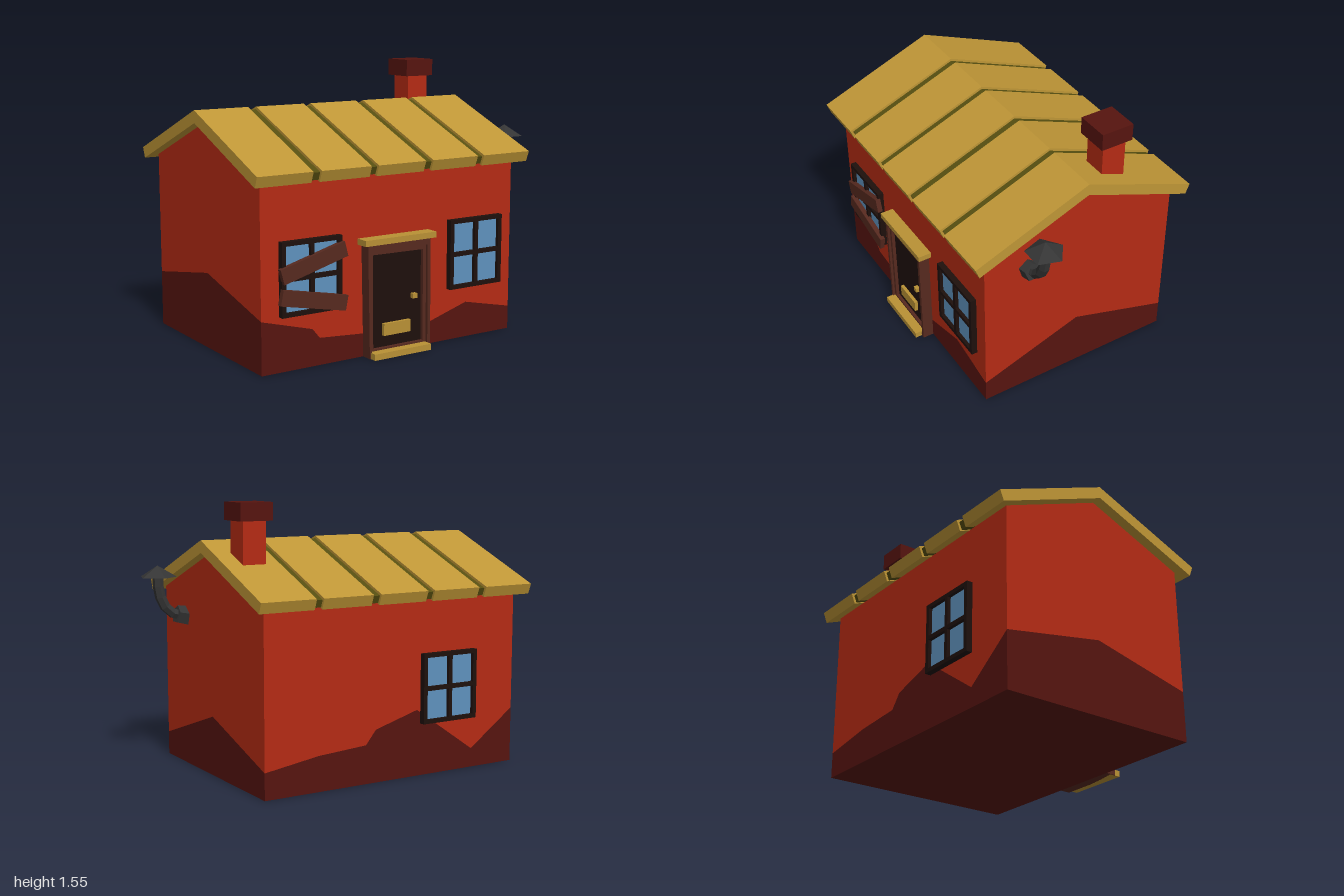
import * as THREE from 'three';

const mat = (color, side = THREE.FrontSide) =>
  new THREE.MeshStandardMaterial({ color, side, flatShading: true });
const RED = mat(0xb52b14), STAIN = mat(0x56140f), ROOF = mat(0xbf9636), GROOVE = mat(0x564e10);
const GOLD = mat(0xb99135), BROWN = mat(0x56291f), BLACK = mat(0x1e100c), GLASS = mat(0x5f92bd);
const IRON = mat(0x353535, THREE.DoubleSide);

// House extents
const X0 = -0.94, X1 = 0.72, Z0 = -0.615, Z1 = 0.595, MID = -0.01, EAVE = 1.025, RIDGE = 1.265;

function add(parent, name, geometry, material) {
  const mesh = new THREE.Mesh(geometry, material);
  mesh.name = name;
  parent.add(mesh);
  return mesh;
}

// Box given by its min and max on each axis
function box(parent, name, material, x0, x1, y0, y1, z0, z1) {
  const m = add(parent, name, new THREE.BoxGeometry(x1 - x0, y1 - y0, z1 - z0), material);
  m.position.set((x0 + x1) / 2, (y0 + y1) / 2, (z0 + z1) / 2);
  return m;
}

const shapeOf = pts => new THREE.Shape(pts.map(p => new THREE.Vector2(...p)));

// A wall split by a ragged damp line; u runs left to right as seen from outside
function wall(parent, name, line, top, angle, offset) {
  const g = new THREE.Group();
  g.name = name;
  const a = line[0][0], b = line[line.length - 1][0];
  const lower = shapeOf([[a, 0], [b, 0], ...[...line].reverse()]);
  const upper = shapeOf([...line, ...top]);
  add(g, 'dampBase', new THREE.ShapeGeometry(lower), STAIN);
  add(g, 'wallFace', new THREE.ShapeGeometry(upper), RED);
  g.rotation.y = angle;
  g.position.set(Math.sin(angle) * offset, 0, Math.cos(angle) * offset);
  parent.add(g);
}

// Gabled roof slab: profile in z and y, extruded along x
function roofSlab(parent, name, material, x0, x1, half, tipY, lowHalf, lowY, peak, innerPeak) {
  const s = shapeOf([[-half, tipY], [-lowHalf, lowY], [0, innerPeak],
    [lowHalf, lowY], [half, tipY], [0, peak]]);
  const geo = new THREE.ExtrudeGeometry(s, { depth: x1 - x0, bevelEnabled: false });
  geo.rotateY(Math.PI / 2);
  add(parent, name, geo, material).position.set(x0, 0, MID);
}

// Four-pane window, 0.37 wide, facing +z from its own origin
function paneWindow(parent, name, x, z, angle) {
  const g = new THREE.Group();
  g.name = name;
  const w = 0.185, h = 0.2, pane = [[0.012, 0.16], [-0.16, -0.012]];
  const s = shapeOf([[-w, -h], [w, -h], [w, h], [-w, h]]);
  for (const [a, b] of pane) for (const [c, d] of [[0.012, 0.177], [-0.177, -0.012]])
    s.holes.push(new THREE.Path([[a, c], [a, d], [b, d], [b, c]].map(p => new THREE.Vector2(...p))));
  add(g, 'windowFrame', new THREE.ExtrudeGeometry(s, { depth: 0.035, bevelEnabled: false }), BLACK);
  box(g, 'glass', GLASS, -0.17, 0.17, -0.185, 0.185, 0, 0.015);
  g.position.set(x, 0.5, z);
  g.rotation.y = angle;
  parent.add(g);
}

// Extruded surround with a doorway cut into it
function surround(parent, name, outer, hole, depth) {
  const s = shapeOf(outer);
  s.holes.push(new THREE.Path(hole.map(p => new THREE.Vector2(...p))));
  const geo = new THREE.ExtrudeGeometry(s, { depth, bevelEnabled: false });
  add(parent, name, geo, BROWN).position.z = Z1;
}

export function createModel() {
  const house = new THREE.Group();
  house.name = 'cottage';

  // Walls and floor
  wall(house, 'frontWall',
    [[X0, 0.29], [-0.63, 0.205], [-0.585, 0.15], [-0.31, 0.13], [0.1, 0.115], [0.4, 0.205], [X1, 0.135]],
    [[X1, EAVE], [X0, EAVE]], 0, Z1);
  wall(house, 'backWall',
    [[-X1, 0.15], [-0.387, 0.2], [-0.085, 0.22], [-0.02, 0.3], [0.257, 0.38], [0.646, 0.11], [-X0, 0.32]],
    [[-X0, EAVE], [-X1, EAVE]], Math.PI, -Z0);
  wall(house, 'leftGable', [[-Z1, 0.135], [-MID, 0.34], [-Z0, 0.15]],
    [[-Z0, EAVE], [-MID, RIDGE], [-Z1, EAVE]], Math.PI / 2, X1);
  wall(house, 'rightGable', [[Z0, 0.32], [MID, 0.43], [Z1, 0.29]],
    [[Z1, EAVE], [MID, RIDGE], [Z0, EAVE]], -Math.PI / 2, -X0);
  const floor = add(house, 'floor', new THREE.PlaneGeometry(X1 - X0, Z1 - Z0), STAIN);
  floor.rotation.x = Math.PI / 2;
  floor.position.set((X0 + X1) / 2, 0, (Z0 + Z1) / 2);

  // Roof panels over a recessed dark layer
  const roof = new THREE.Group();
  roof.name = 'roof';
  house.add(roof);
  for (const [a, b] of [[-1, -0.67], [-0.62, -0.31], [-0.265, 0.045], [0.095, 0.405], [0.45, 0.78]])
    roofSlab(roof, 'roofPanel', ROOF, a, b, 0.69, 1.06, 0.667, 1.0, 1.335, RIDGE);
  roofSlab(roof, 'roofGroove', GROOVE, -0.98, 0.76, 0.672, 1.052, 0.655, 1.01, 1.32, 1.271);

  // Chimney
  box(house, 'chimney', RED, 0.535, 0.675, 1.15, 1.46, -0.31, -0.165);
  box(house, 'chimneyCap', STAIN, 0.505, 0.7, 1.45, 1.55, -0.335, -0.14);

  // Windows
  paneWindow(house, 'frontRightWindow', -0.648, Z1, 0);
  paneWindow(house, 'frontLeftWindow', 0.445, Z1, 0);
  paneWindow(house, 'backWindow', -0.465, Z0, Math.PI);

  // Planks nailed over one window
  for (const [y, tilt] of [[0.575, 0.27], [0.373, -0.2]]) {
    const plank = add(house, 'plank', new THREE.BoxGeometry(0.405, 0.084, 0.03), BROWN);
    plank.position.set(-0.645, y, 0.634);
    plank.rotation.z = tilt;
  }

  // Door
  const door = new THREE.Group();
  door.name = 'door';
  house.add(door);
  surround(door, 'doorFrame', [[-0.307, 0], [0.1, 0], [0.095, 0.63], [-0.32, 0.63]],
    [[-0.293, 0.02], [-0.3, 0.592], [0.075, 0.592], [0.08, 0.02]], 0.065);
  surround(door, 'doorTrim', [[-0.305, 0.01], [0.09, 0.01], [0.09, 0.6], [-0.305, 0.6]],
    [[-0.275, 0.045], [-0.28, 0.57], [0.055, 0.565], [0.058, 0.045]], 0.05);
  box(door, 'doorPanel', BLACK, -0.29, 0.07, 0.01, 0.58, Z1, 0.625);
  box(door, 'lintel', GOLD, -0.345, 0.125, 0.628, 0.661, Z1, 0.675);
  box(door, 'doorstep', GOLD, -0.3, 0.075, 0, 0.035, Z1, 0.7);
  box(door, 'letterPlate', GOLD, -0.203, -0.025, 0.11, 0.178, 0.62, 0.645);
  box(door, 'doorKnob', GOLD, -0.014, 0.016, 0.295, 0.322, 0.62, 0.65);

  // Stove pipe: collar, bent flue and hat
  const pipe = new THREE.Group();
  pipe.name = 'stovePipe';
  pipe.position.z = 0.327;
  house.add(pipe);
  const collar = add(pipe, 'pipeCollar', new THREE.CylinderGeometry(0.054, 0.06, 0.09, 5), IRON);
  collar.geometry.rotateY(-Math.PI / 2);
  collar.rotation.z = -Math.PI / 2 + 0.2;
  collar.position.set(0.735, 0.878, 0);
  const bend = new THREE.CatmullRomCurve3([[0.74, 0.88], [0.82, 0.905], [0.872, 0.98], [0.888, 1.05], [0.89, 1.12]]
    .map(([x, y]) => new THREE.Vector3(x, y, 0)));
  add(pipe, 'flue', new THREE.TubeGeometry(bend, 5, 0.031, 6), IRON);
  const hat = add(pipe, 'pipeHat', new THREE.ConeGeometry(0.11, 0.066, 5), IRON);
  hat.rotation.y = Math.PI;
  hat.position.set(0.89, 1.142, 0.003);

  return house;
}
